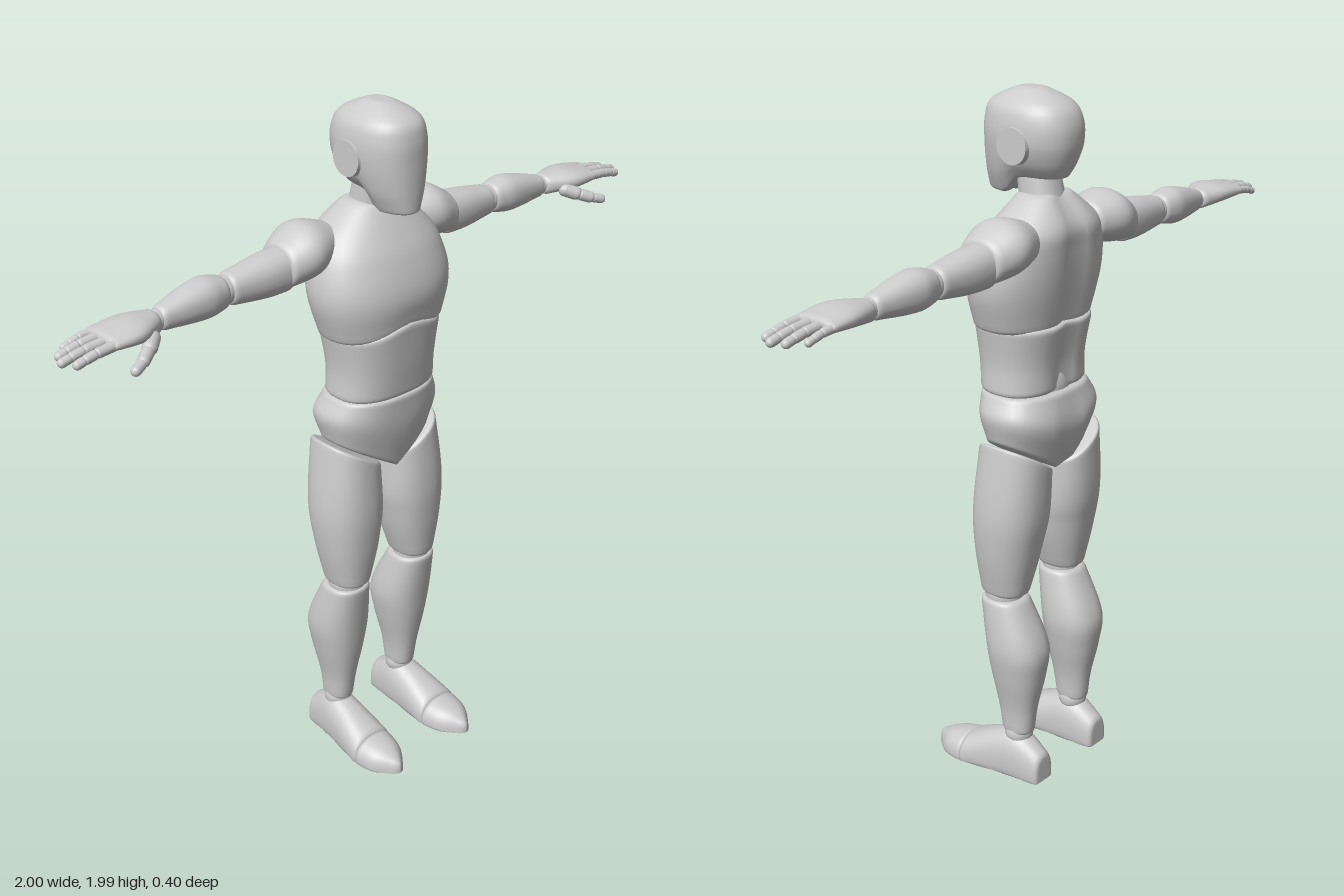
import * as THREE from 'three';

const SIDES = 36;
const grey = new THREE.MeshStandardMaterial({ color: 0xcccccc });
const step = (a, b, x) => THREE.MathUtils.smoothstep(x, a, b);
const bump = (x, w) => Math.exp(-((x / w) ** 2));

function named(name, geometry) {
  const mesh = new THREE.Mesh(geometry, grey);
  mesh.name = name;
  return mesh;
}

// Smooth curve through one column of the section table
function sample(rows, col, t) {
  const last = rows.length - 1;
  let i = 0;
  while (i < last - 1 && t > rows[i + 1][0]) i++;
  const slope = (k) => {
    const a = rows[Math.max(k - 1, 0)], b = rows[Math.min(k + 1, last)];
    return (b[col] - a[col]) / (b[0] - a[0]);
  };
  const p = rows[i], q = rows[i + 1], h = q[0] - p[0], s = (t - p[0]) / h, r = 1 - s;
  return r * r * ((1 + 2 * s) * p[col] + s * h * slope(i))
    + s * s * ((1 + 2 * r) * q[col] - r * h * slope(i + 1));
}

// Solid along an axis. Rows are [t, uMin, uMax, vMin, vMax], where the
// (u, v, t) order is (z, x, y), (y, z, x) or (x, y, z). Ends are rounded.
function loft(name, axis, rows, { round = 0.012, power = 2.3, warp } = {}) {
  const t0 = rows[0][0], len = rows[rows.length - 1][0] - t0, t1 = t0 + len;
  const caps = [0.03, 0.35, 0.7];
  const ends = [0, 0.08, 0.25, 0.5, 1].map((f) => f * round);
  const rings = caps.map((k) => [t0, k]);
  ends.forEach((e) => rings.push([t0 + e, 1]));
  for (let i = 1; i < 24; i++) rings.push([t0 + round + ((len - 2 * round) * i) / 24, 1]);
  ends.reverse().forEach((e) => rings.push([t1 - e, 1]));
  caps.reverse().forEach((k) => rings.push([t1, k]));

  const pos = [], index = [], p = new THREE.Vector3();
  for (const [t, k] of rings) {
    const [u0, u1, v0, v1] = [1, 2, 3, 4].map((c) => sample(rows, c, t));
    const d = Math.min(1, Math.min(t - t0, t1 - t) / round);
    const inset = round * (1 - Math.sqrt(Math.max(0, 1 - (1 - d) ** 2)));
    const ru = Math.max((u1 - u0) / 2 - inset, 0.002) * k;
    const rv = Math.max((v1 - v0) / 2 - inset, 0.002) * k;
    for (let j = 0; j < SIDES; j++) {
      const a = (j / SIDES) * Math.PI * 2, c = Math.cos(a), s = Math.sin(a);
      const u = (u0 + u1) / 2 + ru * Math.sign(c) * Math.abs(c) ** (2 / power);
      const v = (v0 + v1) / 2 + rv * Math.sign(s) * Math.abs(s) ** (2 / power);
      if (axis === 'y') p.set(v, t, u);
      else if (axis === 'x') p.set(t, u, v);
      else p.set(u, v, t);
      if (warp) warp(p);
      pos.push(p.x, p.y, p.z);
    }
  }
  const end = (rings.length - 1) * SIDES;
  for (let i = 0; i < end; i += SIDES) for (let j = 0; j < SIDES; j++) {
    const a = i + j, b = i + ((j + 1) % SIDES);
    index.push(a, b, b + SIDES, a, b + SIDES, a + SIDES);
  }
  for (let j = 1; j < SIDES - 1; j++) index.push(0, j + 1, j, end, end + j, end + j + 1);
  const g = new THREE.BufferGeometry();
  g.setAttribute('position', new THREE.Float32BufferAttribute(pos, 3));
  g.setIndex(index);
  g.computeVertexNormals();
  return named(name, g);
}

// Torso sections: [y, back, front, half width]
const body = (name, rows, options) =>
  loft(name, 'y', rows.map(([y, b, f, w]) => [y, b, f, -w, w]), options);

// Round arm sections: [x, centre y, centre z, radius]
const tube = (name, rows) =>
  loft(name, 'x', rows.map(([x, y, z, r]) => [x, y - r, y + r, z - r, z + r]));

// Flat-soled sections: [z, inner x, outer x, height]
const sole = (name, rows) =>
  loft(name, 'z', rows.map(([z, a, b, h]) => [z, a, b, -0.05, h]),
    { warp: (p) => { p.y = Math.max(p.y, 0); } });

const ball = (name, x, y, z, r) =>
  named(name, new THREE.SphereGeometry(r, 24, 16).translate(x, y, z));

// Rounded finger bone between two points
function bone(name, a, b, r) {
  const d = b.clone().sub(a), c = a.clone().lerp(b, 0.5);
  const g = new THREE.CapsuleGeometry(r, Math.max(d.length() - r, 0.002), 5, 14);
  g.applyQuaternion(new THREE.Quaternion().setFromUnitVectors(new THREE.Vector3(0, 1, 0), d.normalize()));
  return named(name, g.translate(c.x, c.y, c.z));
}

function mirrored(mesh) {
  const g = mesh.geometry.clone().scale(-1, 1, 1), id = g.index.array;
  for (let i = 0; i < id.length; i += 3) [id[i], id[i + 1]] = [id[i + 1], id[i]];
  return named(mesh.name.replace('left', 'right'), g);
}

// Spine groove at the back, and a rib arch at the front of weight k
function ribShape(p, k) {
  p.z += 0.02 * bump(p.x, 0.035) * step(0.05, 0.15, -p.z);
  p.y += 0.03 * k * bump(p.x, 0.09) * step(-0.04, 0.06, p.z);
}
const hipLine = (x) => 0.935 + 0.61 * Math.abs(x);

function torso() {
  return [
    body('head', [
      [1.71, -0.145, 0.098, 0.058], [1.77, -0.165, 0.1, 0.086], [1.85, -0.18, 0.1, 0.103],
      [1.91, -0.178, 0.097, 0.102], [1.955, -0.15, 0.078, 0.084], [1.99, -0.075, 0.005, 0.03]], {
      round: 0.008,
      warp: (p) => { // raises the skull base behind the jaw
        const rise = 0.05 * step(-0.02, 0.035, -p.z);
        p.y += rise * Math.max(0, (1.85 - p.y) / 0.14);
      },
    }),
    body('neck', [[1.66, -0.14, -0.015, 0.062], [1.8, -0.105, 0.005, 0.052]]),
    body('chest', [
      [1.36, -0.16, 0.086, 0.187], [1.48, -0.182, 0.097, 0.218], [1.58, -0.193, 0.07, 0.203],
      [1.64, -0.192, 0.038, 0.168], [1.72, -0.14, -0.015, 0.072]],
    { warp: (p) => ribShape(p, 1 - step(1.36, 1.5, p.y)) }),
    body('waist', [
      [1.175, -0.152, 0.07, 0.163], [1.26, -0.156, 0.08, 0.159], [1.37, -0.175, 0.094, 0.172]],
    { power: 2.5, warp: (p) => ribShape(p, step(1.25, 1.37, p.y)) }),
    body('pelvis', [
      [0.93, -0.15, 0.035, 0.175], [1.06, -0.182, 0.062, 0.19], [1.175, -0.16, 0.07, 0.163]], {
      power: 2.5,
      warp: (p) => { // leg openings cut as a V, with a rear cleft
        const s = (1.175 - p.y) / 0.245;
        p.y = 1.175 - s * (1.175 - hipLine(p.x));
        p.z += 0.022 * s * bump(p.x, 0.02) * step(0.06, 0.15, -p.z);
      },
    }),
    ball('waistJoint', 0, 1.175, -0.045, 0.1),
  ];
}

function leftLeg() {
  return [
    loft('leftThigh', 'y', [
      [0.575, -0.112, 0.025, 0.07, 0.185], [0.7, -0.139, 0.04, 0.034, 0.21],
      [0.83, -0.16, 0.046, 0.016, 0.22], [1.05, -0.168, 0.036, 0.018, 0.195]], {
      warp: (p) => { // top follows the hip line
        const s = Math.max(0, (p.y - 0.75) / 0.3);
        p.y += s * (hipLine(p.x) - 1.058);
      },
    }),
    ball('leftKneeJoint', 0.13, 0.57, -0.042, 0.055),
    loft('leftShin', 'y', [
      [0.135, -0.14, -0.045, 0.09, 0.166], [0.22, -0.15, -0.032, 0.081, 0.174],
      [0.33, -0.172, -0.012, 0.057, 0.197], [0.42, -0.177, 0.001, 0.045, 0.209],
      [0.565, -0.11, 0.022, 0.066, 0.195]]),
    ball('leftAnkleJoint', 0.128, 0.13, -0.093, 0.042),
    sole('leftFoot', [
      [-0.19, 0.09, 0.17, 0.085], [-0.1, 0.076, 0.185, 0.137],
      [-0.03, 0.072, 0.195, 0.122], [0.075, 0.064, 0.213, 0.075]]),
    sole('leftToes', [
      [0.072, 0.064, 0.213, 0.074], [0.14, 0.082, 0.198, 0.06], [0.2, 0.128, 0.152, 0.03]]),
  ];
}

function leftArm() {
  const parts = [
    loft('leftShoulder', 'x', [
      [0.13, 1.56, 1.67, -0.17, -0.045], [0.22, 1.54, 1.69, -0.2, -0.012],
      [0.302, 1.53, 1.65, -0.172, -0.032]], { power: 2.1 }),
    tube('leftUpperArm', [
      [0.285, 1.583, -0.102, 0.06], [0.36, 1.58, -0.102, 0.057], [0.475, 1.577, -0.102, 0.042]]),
    ball('leftElbowJoint', 0.48, 1.577, -0.102, 0.038),
    tube('leftForearm', [
      [0.483, 1.577, -0.102, 0.042], [0.55, 1.577, -0.102, 0.053], [0.692, 1.566, -0.096, 0.031]]),
    ball('leftWristJoint', 0.695, 1.565, -0.096, 0.027),
    loft('leftHand', 'x', [
      [0.697, 1.535, 1.593, -0.13, -0.062], [0.78, 1.542, 1.6, -0.153, -0.018],
      [0.87, 1.55, 1.587, -0.156, -0.02]]),
  ];
  // Fingers, little to index, by tip position
  [0.94, 0.977, 0.992, 0.972].forEach((tip, f) => {
    const at = (i) => {
      const s = Math.sqrt(i / 3);
      return new THREE.Vector3(THREE.MathUtils.lerp(0.83, tip, s), 1.571 - 0.02 * s * s, 0.035 * f - 0.141);
    };
    for (let i = 0; i < 3; i++) {
      parts.push(bone(`leftFinger${f + 1}Bone${i + 1}`, at(i), at(i + 1), (f ? 0.0135 : 0.0115) - i * 0.0006));
    }
  });
  const thumb = new THREE.QuadraticBezierCurve3(
    new THREE.Vector3(0.74, 1.555, -0.045), new THREE.Vector3(0.8, 1.525, 0.01),
    new THREE.Vector3(0.848, 1.514, 0.022)).getPoints(3);
  for (let i = 0; i < 3; i++) {
    parts.push(bone(`leftThumbBone${i + 1}`, thumb[i], thumb[i + 1], 0.02 - i * 0.003));
  }
  return parts;
}

export function createModel() {
  const model = new THREE.Group();
  model.name = 'jointedFigure';
  const ear = named('leftEarDisc', new THREE.CylinderGeometry(0.049, 0.053, 0.04, 32)
    .rotateZ(-Math.PI / 2).translate(0.088, 1.85, -0.05));
  model.add(...torso());
  for (const part of [ear, ...leftLeg(), ...leftArm()]) model.add(part, mirrored(part));
  return model;
}
